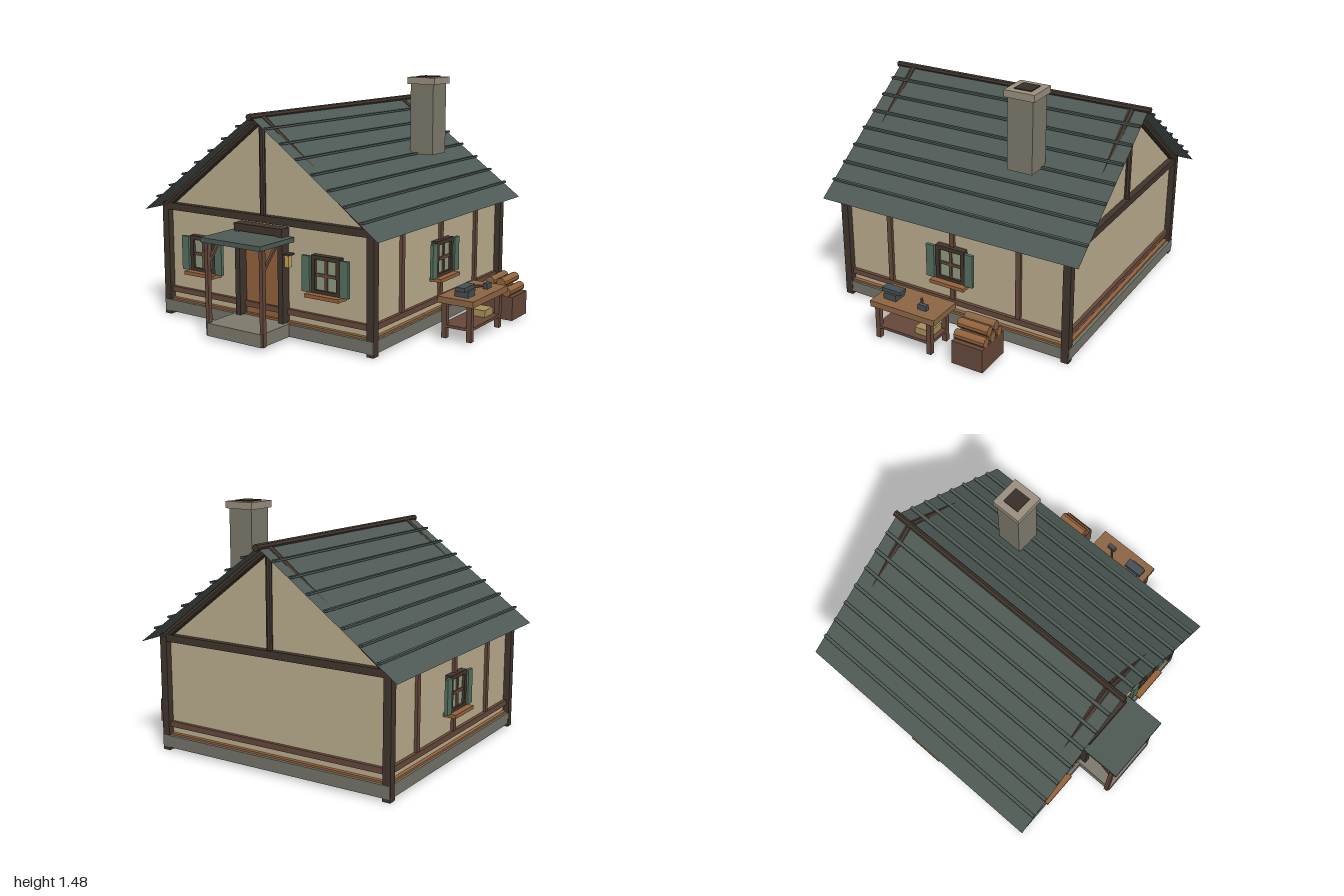
import * as THREE from 'three';

const mat = (color) => new THREE.MeshStandardMaterial({ color, flatShading: true });
const M = {
  dark: mat(0x40352d), brown: mat(0x66483a), oak: mat(0x8c6644), door: mat(0x94633c),
  plaster: mat(0xbcad8e), stone: mat(0x74746a), paleStone: mat(0x9a907f), chimney: mat(0x7d7a6c),
  roof: mat(0x4e5a55), shutter: mat(0x557060), glass: mat(0x8f9b80), iron: mat(0x464f54),
  lamp: mat(0xc7a25a), soot: mat(0x3a2f29), under: mat(0x3c3d38), straw: mat(0xa98f5c),
};
M.roof.side = THREE.DoubleSide;

function add(parent, name, geo, material, x = 0, y = 0, z = 0) {
  const m = new THREE.Mesh(geo, material);
  m.name = name;
  m.position.set(x, y, z);
  parent.add(m);
  return m;
}

// Box given by its extents on each axis
function box(parent, name, material, [x0, x1], [y0, y1], [z0, z1]) {
  return add(parent, name, new THREE.BoxGeometry(x1 - x0, y1 - y0, z1 - z0), material,
    (x0 + x1) / 2, (y0 + y1) / 2, (z0 + z1) / 2);
}

// Round or square timber between two points
function beam(parent, name, material, a, b, r, sides = 8) {
  const A = new THREE.Vector3(...a), B = new THREE.Vector3(...b);
  const geo = new THREE.CylinderGeometry(r, r, A.distanceTo(B), sides);
  if (sides === 4) geo.rotateY(Math.PI / 4);
  const m = add(parent, name, geo, material);
  m.position.copy(A).add(B).multiplyScalar(0.5);
  m.quaternion.setFromUnitVectors(new THREE.Vector3(0, 1, 0), B.sub(A).normalize());
  return m;
}

// Window facing +z, origin on the wall at the window centre
function makeWindow() {
  const g = new THREE.Group();
  g.name = 'window';
  box(g, 'glass', M.glass, [-0.085, 0.085], [-0.1, 0.1], [0, 0.024]);
  for (const s of [-1, 1]) {
    add(g, 'frameSide', new THREE.BoxGeometry(0.025, 0.225, 0.04), M.dark, s * 0.085, 0, 0.02);
    add(g, 'frameRail', new THREE.BoxGeometry(0.195, 0.025, 0.04), M.dark, 0, s * 0.1, 0.02);
    add(g, 'shutter', new THREE.BoxGeometry(0.055, 0.21, 0.02), M.shutter, s * 0.132, 0, 0.038);
  }
  box(g, 'mullion', M.brown, [-0.009, 0.009], [-0.1, 0.1], [0, 0.033]);
  box(g, 'transom', M.brown, [-0.085, 0.085], [-0.009, 0.009], [0, 0.033]);
  box(g, 'windowSill', M.door, [-0.117, 0.117], [-0.128, -0.106], [0, 0.08]);
  return g;
}

function makeHouse() {
  const h = new THREE.Group();
  h.name = 'house';
  h.position.set(-0.143, 0, -0.095);
  const W = 0.745, P = 0.76;

  // Base and walls
  box(h, 'plinth', M.stone, [-0.782, 0.782], [0.02, 0.093], [-0.787, 0.787]);
  box(h, 'floorUnderside', M.under, [-0.73, 0.73], [0.014, 0.03], [-0.73, 0.73]);
  box(h, 'walls', M.plaster, [-W, W], [0.09, 0.69], [-W, W]);

  // Gable ends as one prism under the roof
  const gable = new THREE.Shape([[-W, 0.68], [W, 0.68], [W, 0.725], [0, 1.265], [-W, 0.725]]
    .map(([x, y]) => new THREE.Vector2(x, y)));
  add(h, 'gable', new THREE.ExtrudeGeometry(gable, { depth: 2 * W, bevelEnabled: false }), M.plaster, 0, 0, -W);

  // Corner posts
  for (const sx of [-1, 1]) for (const sz of [-1, 1])
    beam(h, 'cornerPost', M.dark, [sx * P, 0, sz * P], [sx * P, 0.7, sz * P], 0.034, 4);

  // Rails on all four walls
  for (let i = 0; i < 4; i++) {
    const side = new THREE.Group();
    side.name = 'wallTimbers';
    side.rotation.y = i * Math.PI / 2;
    h.add(side);
    box(side, 'topPlate', M.dark, [-0.782, 0.782], [0.669, 0.712], [0.738, 0.782]);
    box(side, 'lowRail', M.brown, [-0.745, 0.745], [0.143, 0.177], [0.74, 0.766]);
    box(side, 'soleRail', M.door, [-0.745, 0.745], [0.09, 0.105], [0.74, 0.768]);
    if (i % 2) for (const x of [-0.443, 0, 0.443])
      box(side, 'stud', M.brown, [x - 0.016, x + 0.016], [0.16, 0.68], [0.74, 0.763]);
    const xs = i === 0 ? [-0.46, 0.46] : i % 2 ? [0] : [];
    for (const x of xs) {
      const w = makeWindow();
      w.position.set(x, 0.415, W);
      side.add(w);
    }
  }

  // Roof sheets, battens, gable rafters and king posts
  const top = 1.29, eave = 0.67, half = 0.858, slope = (top - eave) / half;
  for (const s of [-1, 1]) {
    const sheet = add(h, 'roofSlope', new THREE.PlaneGeometry(Math.hypot(half, top - eave), 2 * half + 0.004),
      M.roof, s * half / 2, (top + eave) / 2, 0);
    sheet.geometry.rotateX(-Math.PI / 2);
    sheet.rotation.z = -s * Math.atan(slope);
    for (let k = 1; k < 8; k++) {
      const x = k * half / 8;
      add(h, 'roofBatten', new THREE.BoxGeometry(0.02, 0.012, 2 * half), M.roof, s * x, top - slope * x + 0.014, 0);
    }
    for (const z of [-P, P])
      beam(h, 'rafter', M.dark, [0, 1.275, z], [s * 0.775, 0.682, z], 0.025);
  }
  for (const z of [-P, P]) beam(h, 'kingPost', M.dark, [0, 0.7, z], [0, 1.27, z], 0.018);
  beam(h, 'ridgeBeam', M.dark, [0, 1.29, -0.875], [0, 1.286, 0.878], 0.02);

  // Door with its frame
  box(h, 'door', M.door, [-0.145, 0.145], [0.095, 0.61], [0.74, 0.75]);
  for (const s of [-1, 1]) add(h, 'doorPost', new THREE.BoxGeometry(0.035, 0.52, 0.06), M.dark, s * 0.16, 0.355, 0.78);
  box(h, 'doorLintel', M.dark, [-0.178, 0.178], [0.61, 0.655], [0.745, 0.815]);
  return h;
}

function makePorch() {
  const g = new THREE.Group();
  g.name = 'porch';
  box(g, 'porchStep', M.chimney, [-0.345, 0.06], [0.02, 0.097], [0.68, 0.945]);
  box(g, 'porchRoof', M.roof, [-0.364, 0.078], [0.577, 0.605], [0.66, 0.965]);
  for (const x of [-0.345, 0.058]) {
    box(g, 'porchPost', M.brown, [x - 0.012, x + 0.012], [0.02, 0.58], [0.91, 0.938]);
    beam(g, 'porchBrace', M.brown, [x, 0.445, 0.924], [x, 0.58, 0.8], 0.011, 4);
  }
  box(g, 'lantern', M.lamp, [0.07, 0.1], [0.445, 0.512], [0.708, 0.742]);
  box(g, 'lanternCap', M.dark, [0.066, 0.104], [0.512, 0.523], [0.69, 0.746]);
  return g;
}

function makeChimney() {
  const g = new THREE.Group();
  g.name = 'chimney';
  g.position.set(0.322, 0, -0.42);
  box(g, 'chimneyStack', M.chimney, [-0.081, 0.081], [0.99, 1.44], [-0.081, 0.081]);
  box(g, 'chimneyCap', M.paleStone, [-0.097, 0.097], [1.43, 1.472], [-0.097, 0.097]);
  box(g, 'flue', M.soot, [-0.054, 0.054], [1.46, 1.478], [-0.054, 0.054]);
  return g;
}

function makeWorkbench() {
  const g = new THREE.Group();
  g.name = 'workbench';
  box(g, 'benchTop', M.oak, [0.77, 1.0], [0.23, 0.268], [-0.217, 0.222]);
  for (const x of [0.805, 0.965]) for (const z of [-0.165, 0.188])
    box(g, 'benchLeg', M.brown, [x - 0.016, x + 0.016], [0.02, 0.235], [z - 0.015, z + 0.015]);
  box(g, 'benchShelf', M.brown, [0.79, 0.98], [0.085, 0.102], [-0.18, 0.203]);
  box(g, 'shelfBundle', M.straw, [0.825, 0.94], [0.102, 0.143], [-0.15, -0.045]);
  // Anvil
  box(g, 'anvilBase', M.iron, [0.853, 0.94], [0.266, 0.306], [0.083, 0.168]);
  box(g, 'anvilTop', M.iron, [0.868, 0.926], [0.304, 0.328], [0.06, 0.19]);
  // Hammer
  beam(g, 'hammerHandle', M.brown, [0.85, 0.28, -0.035], [0.925, 0.284, -0.095], 0.008, 6);
  box(g, 'hammerHead', M.iron, [0.913, 0.939], [0.268, 0.3], [-0.125, -0.068]);
  return g;
}

function makeWoodpile() {
  const g = new THREE.Group();
  g.name = 'woodpile';
  box(g, 'crate', M.brown, [0.75, 0.985], [0.02, 0.167], [-0.522, -0.322]);
  const logs = [[0.795, 0.192], [0.867, 0.192], [0.94, 0.192], [0.83, 0.246], [0.903, 0.246]];
  logs.forEach(([x, y], i) =>
    beam(g, 'log', i % 2 ? M.oak : M.door, [x, y, -0.522], [x, y, -0.325], 0.029, 10));
  return g;
}

export function createModel() {
  const model = new THREE.Group();
  model.name = 'cottage';
  model.add(makeHouse(), makePorch(), makeChimney(), makeWorkbench(), makeWoodpile());
  return model;
}
